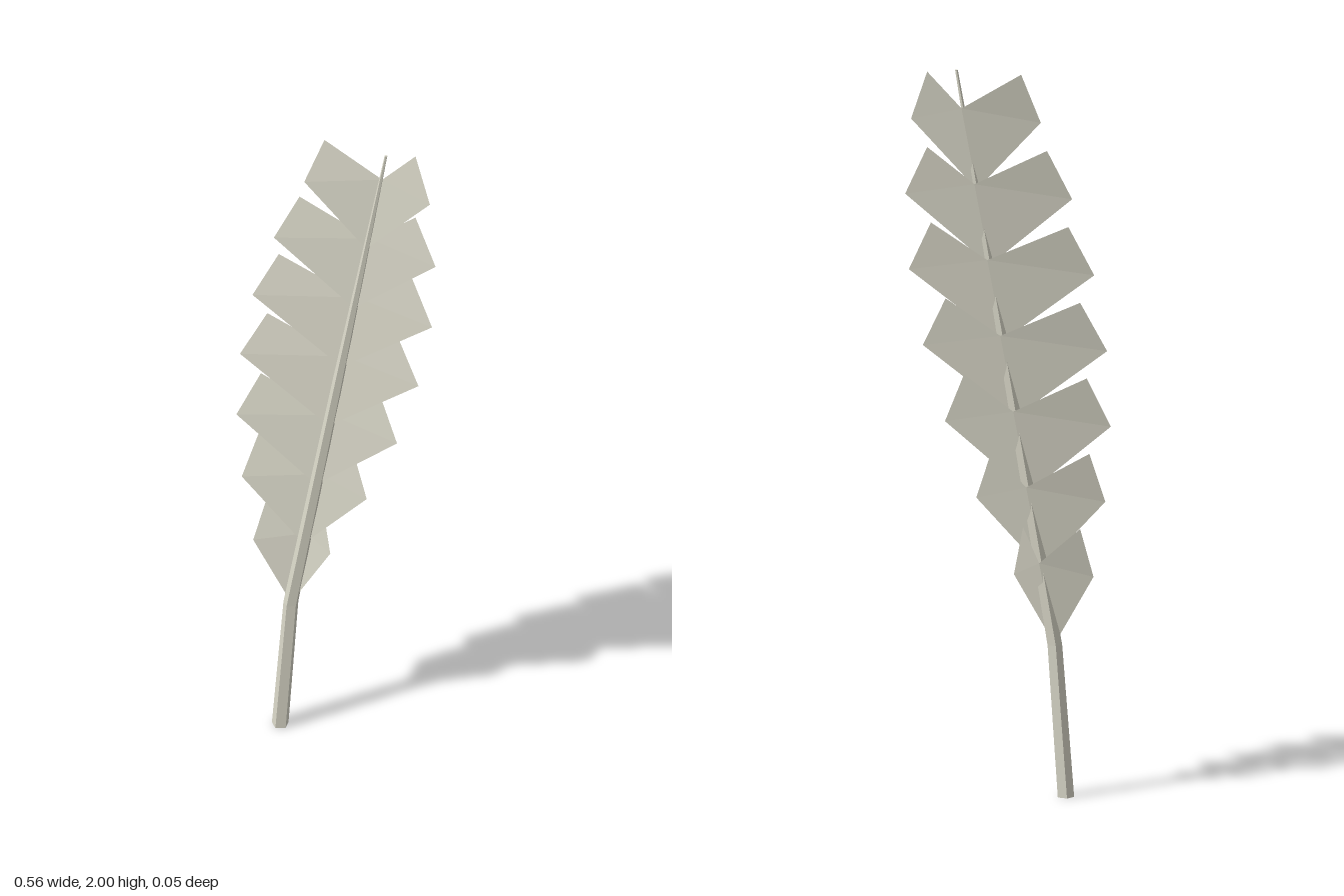
import * as THREE from 'three';

const SIDES = 5;

// Flat-shaded mesh from a list of triangles (each three [x, y, z] points)
function facetMesh(name, triangles, material) {
  const geometry = new THREE.BufferGeometry();
  geometry.setAttribute('position', new THREE.Float32BufferAttribute(triangles.flat(2), 3));
  geometry.computeVertexNormals();
  const mesh = new THREE.Mesh(geometry, material);
  mesh.name = name;
  return mesh;
}

// Centre line of the shaft: bent once where the vane begins
const shaftX = (y) => (y < 0.42 ? -0.157 + y * 0.0714 : -0.127 + (y - 0.42) * 0.1684);

// Tapered five-sided quill with closed ends
function createShaft(material) {
  const rings = [[0, 0.0235], [0.42, 0.021], [1.2, 0.0155], [2, 0.004]].map(([y, r]) =>
    Array.from({ length: SIDES }, (_, i) => {
      const a = Math.PI + (i / SIDES) * Math.PI * 2;
      return [shaftX(y) + r * Math.cos(a), y, r * Math.sin(a)];
    }));
  const triangles = [];
  for (let k = 0; k < rings.length - 1; k++) {
    for (let i = 0; i < SIDES; i++) {
      const j = (i + 1) % SIDES;
      const [a, b, c, d] = [rings[k][i], rings[k][j], rings[k + 1][j], rings[k + 1][i]];
      triangles.push([a, d, c], [a, c, b]);
    }
  }
  const top = rings[rings.length - 1];
  const bottom = rings[0];
  for (let i = 1; i < SIDES - 1; i++) {
    triangles.push([bottom[0], bottom[i], bottom[i + 1]], [top[0], top[i + 1], top[i]]);
  }
  return facetMesh('shaft', triangles, material);
}

export function createModel() {
  const feather = new THREE.Group();
  feather.name = 'feather';
  const shaftMaterial = new THREE.MeshStandardMaterial({ color: 0xd9d7c8 });
  shaftMaterial.name = 'pale bone';
  shaftMaterial.side = THREE.DoubleSide;
  feather.add(createShaft(shaftMaterial));

  // x of the outer corner and of the tip, from the lowest barb up
  const barbs = {
    right: [[-0.233, -0.2], [-0.265, -0.225], [-0.28, -0.218], [-0.27, -0.2],
      [-0.235, -0.168], [-0.175, -0.11], [-0.09, -0.04]],
    left: [[-0.017, -0.045], [0.085, 0.04], [0.17, 0.115], [0.23, 0.165],
      [0.268, 0.205], [0.278, 0.215], [0.262, 0.215]],
  };

  // Overlapping barbs: each rises from the shaft and leans back at its top edge
  for (const [side, rows] of Object.entries(barbs)) {
    const vane = new THREE.Group();
    vane.name = `${side}Vane`;
    rows.forEach(([outerX, tipX], i) => {
      const rise = i * 0.2085;
      const root = [shaftX(0.42 + rise), 0.42 + rise, 0];
      const outer = [outerX, 0.61 + rise, 0];
      const tip = [tipX, 0.747 + rise, -0.023];
      const inner = [shaftX(0.648 + rise), 0.648 + rise, -0.022];
      const triangles = side === 'left'
        ? [[root, outer, inner], [outer, tip, inner]]
        : [[root, inner, outer], [outer, inner, tip]];
      vane.add(facetMesh(`${side}Barb${i + 1}`, triangles, shaftMaterial));
    });
    feather.add(vane);
  }
  return feather;
}
